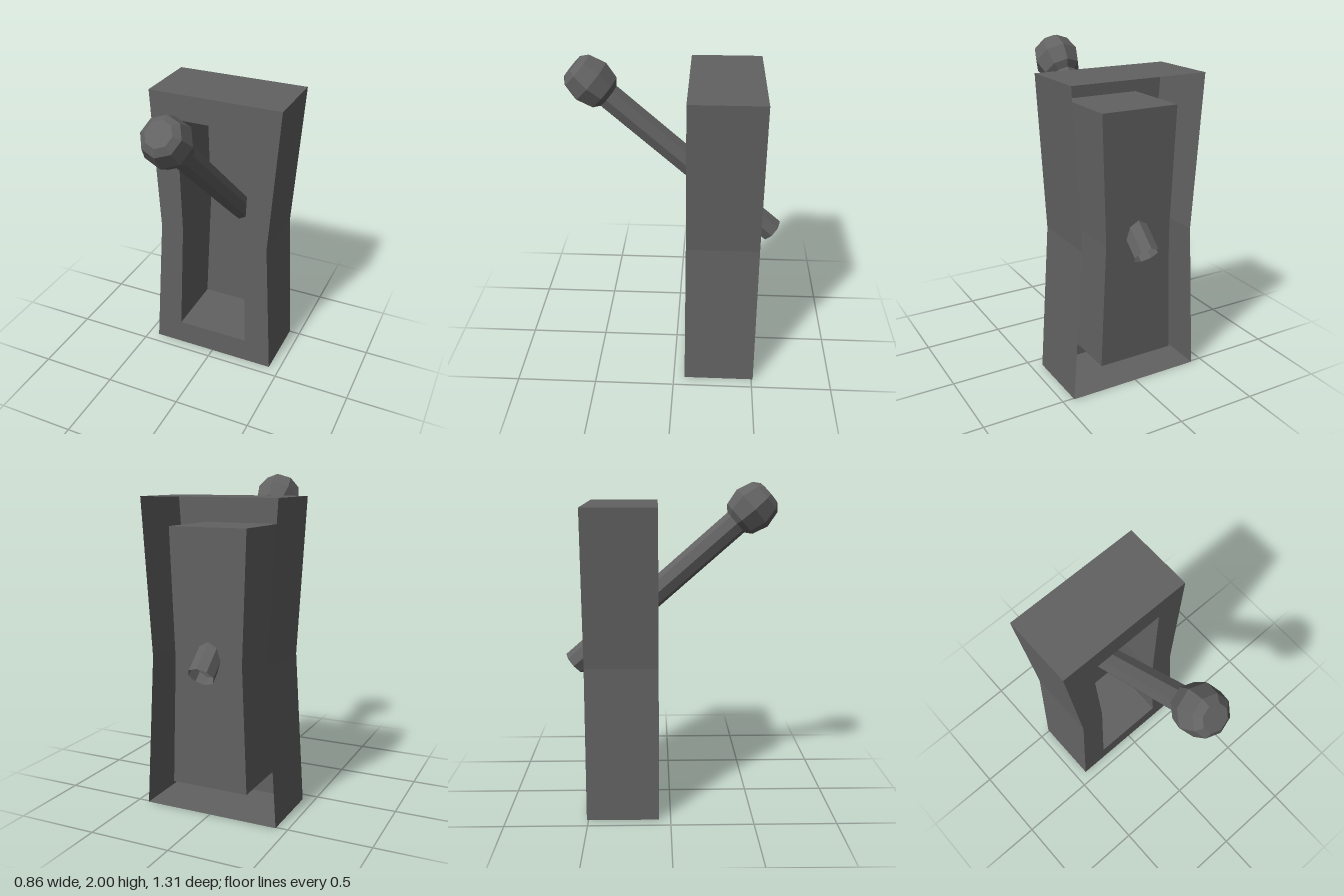
import * as THREE from 'three';

const FRONT = -0.07, BACK = -0.51;

// Waisted panel outline, counter-clockwise
function outline(halfWidth, waist, bottom, top) {
  const mid = (bottom + top) / 2;
  return [
    [-halfWidth, bottom], [halfWidth, bottom], [waist, mid],
    [halfWidth, top], [-halfWidth, top], [-waist, mid],
  ].map(([x, y]) => new THREE.Vector2(x, y));
}

// Open band of walls following an outline from front to back
function wallGeometry(points, inward) {
  const pos = [];
  points.forEach((a, i) => {
    const b = points[(i + 1) % points.length];
    const [p, q] = inward ? [b, a] : [a, b];
    pos.push(p.x, p.y, FRONT, p.x, p.y, BACK, q.x, q.y, BACK);
    pos.push(p.x, p.y, FRONT, q.x, q.y, BACK, q.x, q.y, FRONT);
  });
  const g = new THREE.BufferGeometry();
  g.setAttribute('position', new THREE.Float32BufferAttribute(pos, 3));
  g.computeVertexNormals();
  return g;
}

export function createModel() {
  const darkGrey = new THREE.MeshStandardMaterial({
    name: 'darkGrey', color: 0x626262, flatShading: true, side: THREE.DoubleSide,
  });
  const model = new THREE.Group();
  model.name = 'wallLever';

  function add(parent, name, geometry) {
    const mesh = new THREE.Mesh(geometry, darkGrey);
    mesh.name = name;
    parent.add(mesh);
    return mesh;
  }

  // Housing: thin shell, open at the back, with a pocket sunk into its front
  const housing = new THREE.Group();
  housing.name = 'housing';
  model.add(housing);
  const outer = outline(0.428, 0.37, 0, 1.875);
  const inner = outline(0.243, 0.215, 0.17, 1.71);

  const frame = new THREE.Shape(outer);
  frame.holes.push(new THREE.Path(inner));
  add(housing, 'frontFrame', new THREE.ShapeGeometry(frame)).position.z = FRONT;
  add(housing, 'outerWalls', wallGeometry(outer, false));
  add(housing, 'pocketWalls', wallGeometry(inner, true));
  add(housing, 'pocketBack', new THREE.ShapeGeometry(new THREE.Shape(inner))).position.z = BACK;

  // Lever: its local y axis runs from the knob centre along the rod
  const lever = new THREE.Group();
  lever.name = 'lever';
  lever.position.set(0, 1.845, 0.505);
  lever.rotation.x = THREE.MathUtils.degToRad(48.7);
  model.add(lever);

  // Eight-sided rod, open at its lower end
  const rodLength = 1.34, rodEnd = -1.47;
  add(lever, 'rod', new THREE.CylinderGeometry(0.08, 0.08, rodLength, 8, 1, true))
    .position.y = rodEnd + rodLength / 2;

  // Faceted knob with a flat cap
  const profile = [[0.08, -0.132], [0.12, -0.1], [0.147, 0], [0.12, 0.1], [0.08, 0.133], [0, 0.133]];
  add(lever, 'knob', new THREE.LatheGeometry(profile.map(([r, y]) => new THREE.Vector2(r, y)), 8));

  return model;
}
